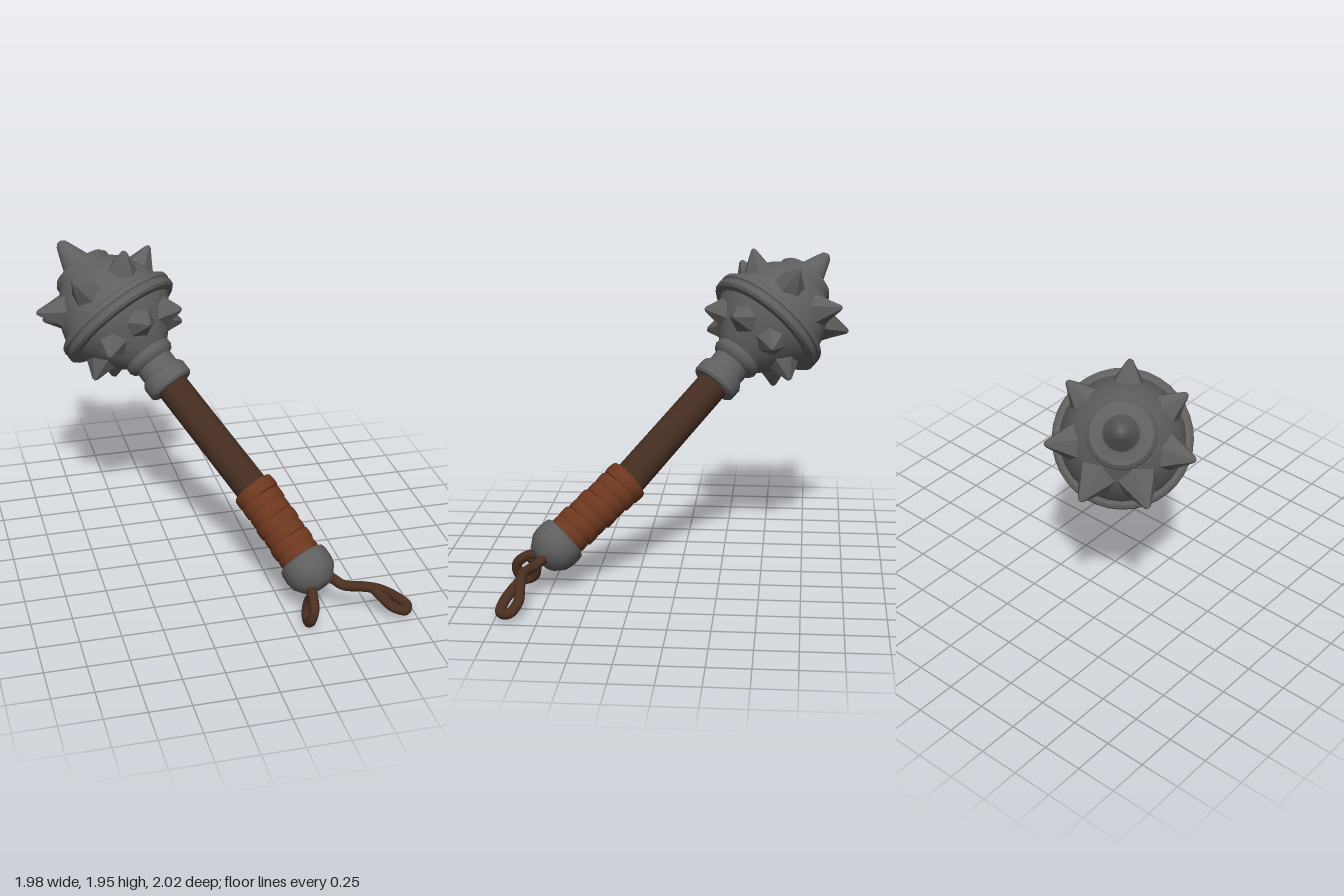
import * as THREE from 'three';
import { toCreasedNormals } from 'three/addons/utils/BufferGeometryUtils.js';

const flat = (name, color) => {
  const m = new THREE.MeshStandardMaterial({ color });
  m.name = name;
  return m;
};

// Group whose +y runs along the given axis and whose +z leans to the sky
function axisGroup(name, origin, axis) {
  const y = new THREE.Vector3(...axis).normalize();
  const x = new THREE.Vector3().crossVectors(y, new THREE.Vector3(0, 1, 0)).normalize();
  const z = new THREE.Vector3().crossVectors(x, y);
  const g = new THREE.Group();
  g.name = name;
  g.quaternion.setFromRotationMatrix(new THREE.Matrix4().makeBasis(x, y, z));
  g.position.set(...origin);
  return g;
}

// Turned part: profile rows are [radius, height], bottom to top
function turned(name, profile, material, sides = 28, crease = 0.6) {
  const pts = profile.map(([r, h]) => new THREE.Vector2(r, h));
  const geo = toCreasedNormals(new THREE.LatheGeometry(pts, sides), crease);
  const m = new THREE.Mesh(geo, material);
  m.name = name;
  return m;
}

function cord(name, points, material) {
  const curve = new THREE.CatmullRomCurve3(points.map(p => new THREE.Vector3(...p)));
  const m = new THREE.Mesh(new THREE.TubeGeometry(curve, 56, 0.031, 10), material);
  m.name = name;
  return m;
}

export function createModel() {
  const iron = flat('iron', 0x5f5f5f);
  const wood = flat('dark wood', 0x452d20);
  const leather = flat('leather', 0x6e371f);
  const rope = flat('cord', 0x4a2f20);

  const model = new THREE.Group();
  model.name = 'spikedMace';
  const upper = axisGroup('headAndShaft', [0.145, 0.645, 0.283], [-0.479, 0.635, -0.604]);
  const lower = axisGroup('gripAndPommel', [0.15, 0.65, 0.28], [-0.391, 0.6, -0.698]);
  model.add(upper, lower);

  // Shaft
  upper.add(turned('shaft', [[0, -0.1], [0.105, -0.1], [0.102, 0.4], [0.1, 0.85], [0, 0.85]], wood));

  // Socket with two collars
  upper.add(turned('socket', [
    [0.09, 0.765], [0.135, 0.765], [0.148, 0.78], [0.148, 0.85], [0.135, 0.87], [0.122, 0.885],
    [0.122, 0.95], [0.145, 0.965], [0.158, 0.99], [0.155, 1.03], [0.14, 1.05], [0.14, 1.1],
  ], iron));

  // Head body
  upper.add(turned('headBody', [
    [0.13, 1.0], [0.18, 1.045], [0.235, 1.11], [0.29, 1.18], [0.338, 1.25], [0.36, 1.32],
    [0.35, 1.38], [0.328, 1.45], [0.295, 1.53], [0.25, 1.6], [0.19, 1.66], [0, 1.67],
  ], iron));

  // Flange around the middle
  upper.add(turned('flange', [
    [0.34, 1.255], [0.378, 1.26], [0.394, 1.275], [0.396, 1.3], [0.386, 1.308],
    [0.386, 1.316], [0.396, 1.325], [0.392, 1.352], [0.375, 1.366], [0.33, 1.37],
  ], iron, 36));

  // Crown disc and its blunt spike
  upper.add(turned('crown', [
    [0.18, 1.63], [0.194, 1.655], [0.192, 1.69], [0.172, 1.715], [0.125, 1.722], [0.1, 1.735],
    [0.084, 1.775], [0.056, 1.85], [0.036, 1.9], [0.018, 1.918], [0, 1.92],
  ], iron));

  // Two rows of seven spikes; base and tip are [radius, height], lean sinks the sky side
  const spikeRow = (name, base, tip, turn, lean) => {
    const dir = new THREE.Vector2(tip[0] - base[0], tip[1] - base[1]);
    const len = dir.length();
    for (let i = 0; i < 7; i++) {
      const arm = new THREE.Group();
      arm.name = name;
      arm.rotation.y = turn + (i * Math.PI * 2) / 7;
      arm.position.y = -lean * Math.cos(arm.rotation.y);
      const spike = turned('spike', [
        [0.135, 0], [0.104, len * 0.35], [0.066, len * 0.6], [0.018, len * 0.95], [0, len],
      ], iron, 6, 0.5);
      spike.position.set(0, base[1], base[0]);
      spike.rotation.x = Math.atan2(dir.x, dir.y);
      arm.add(spike);
      upper.add(arm);
    }
  };
  spikeRow('upperSpike', [0.21, 1.48], [0.425, 1.59], -0.09, 0.05);
  spikeRow('lowerSpike', [0.19, 1.2], [0.355, 1.085], Math.PI / 7, 0);

  // Leather wraps, each a slightly tilted band
  const bands = 7;
  const step = 0.455 / (bands - 1);
  for (let i = 0; i < bands; i++) {
    const r = i === 0 ? 0.134 : 0.126 + (i % 2) * 0.005;
    const band = turned('gripWrap', [
      [0.09, -0.042], [r - 0.006, -0.041], [r, -0.032], [r + 0.002, 0], [r, 0.032], [r - 0.006, 0.041], [0.09, 0.042],
    ], leather);
    band.position.y = -0.07 - i * step;
    band.rotation.set(i % 2 ? 0.06 : -0.03, 0, 0.07);
    lower.add(band);
  }

  // Pommel
  lower.add(turned('pommel', [
    [0, -0.765], [0.065, -0.762], [0.1, -0.742], [0.145, -0.685], [0.155, -0.64],
    [0.155, -0.585], [0.148, -0.555], [0.125, -0.542], [0, -0.54],
  ], iron, 14));

  // Looped cords hanging from the pommel
  model.add(cord('longCord', [
    [0.47, 0.25, 0.73], [0.52, 0.23, 0.78], [0.58, 0.2, 0.83], [0.68, 0.2, 0.87], [0.78, 0.17, 0.872], [0.89, 0.1, 0.868],
    [0.955, 0.055, 0.91], [0.93, 0.05, 0.962], [0.85, 0.085, 0.958], [0.79, 0.14, 0.915], [0.755, 0.175, 0.88],
  ], rope));
  model.add(cord('shortCord', [
    [0.39, 0.23, 0.76], [0.38, 0.215, 0.82], [0.37, 0.2, 0.89], [0.36, 0.15, 0.96], [0.345, 0.08, 0.965],
    [0.34, 0.035, 0.92], [0.345, 0.06, 0.865], [0.36, 0.13, 0.85], [0.37, 0.195, 0.885],
  ], rope));

  return model;
}
